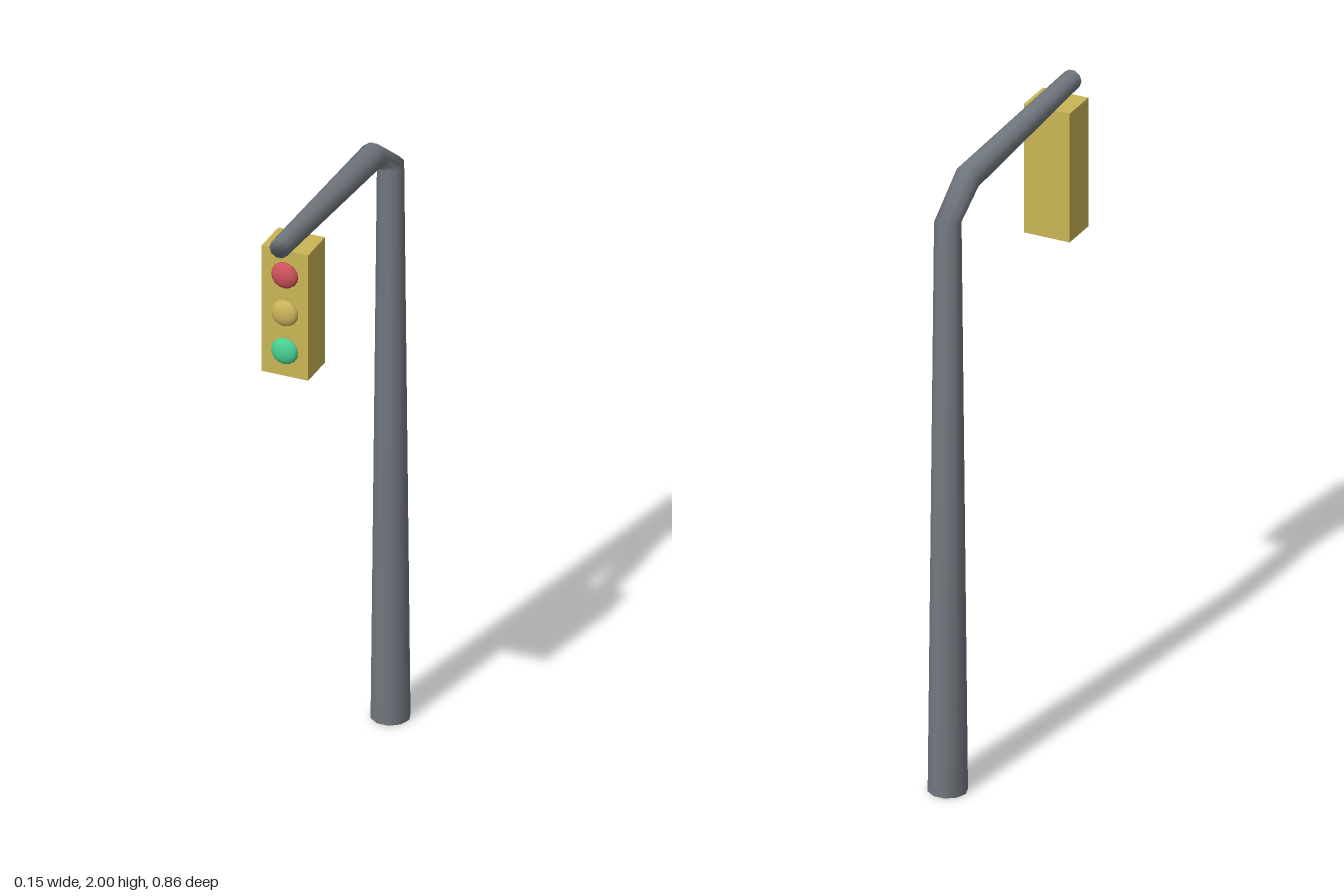
import * as THREE from 'three';

const SIDES = 10;

function material(name, color) {
  const m = new THREE.MeshStandardMaterial({ color });
  m.name = name;
  return m;
}

// Tapered bent tube: rings of [y, z, radius, tilt], tilt turning the ring from horizontal towards +z
function bentTube(rings) {
  const pos = [], index = [];
  for (const [y, z, r, tilt] of rings) {
    for (let i = 0; i < SIDES; i++) {
      const a = (i / SIDES) * Math.PI * 2;
      const s = r * Math.sin(a);
      pos.push(r * Math.cos(a), y - s * Math.sin(tilt), z + s * Math.cos(tilt));
    }
  }
  for (let k = 0; k < rings.length - 1; k++) {
    for (let i = 0; i < SIDES; i++) {
      const j = (i + 1) % SIDES;
      const a = k * SIDES + i, b = k * SIDES + j, c = a + SIDES, d = b + SIDES;
      index.push(a, c, b, b, c, d);
    }
  }
  // End caps share the rim vertices, so the shading stays soft
  const last = (rings.length - 1) * SIDES;
  for (let i = 1; i < SIDES - 1; i++) {
    index.push(0, i, i + 1, last, last + i + 1, last + i);
  }
  const g = new THREE.BufferGeometry();
  g.setAttribute('position', new THREE.Float32BufferAttribute(pos, 3));
  g.setIndex(index);
  g.computeVertexNormals();
  return g;
}

export function createModel() {
  const model = new THREE.Group();
  model.name = 'trafficLight';

  const grey = material('poleGrey', 0x727980);
  const yellow = material('housingYellow', 0xcab655);
  const lenses = [
    ['redLight', material('lensRed', 0xcc525a), 1.863],
    ['amberLight', material('lensAmber', 0xcbb35c), 1.736],
    ['greenLight', material('lensGreen', 0x48d194), 1.609],
  ];

  // Pole with a bent arm reaching forward
  const pole = new THREE.Mesh(bentTube([
    [0, -0.375, 0.06, 0],
    [1.855, -0.375, 0.041, 0.1],
    [1.943, -0.246, 0.041, 1.35],
    [1.971, 0.432, 0.031, Math.PI / 2],
  ]), grey);
  pole.name = 'poleAndArm';
  model.add(pole);

  // Signal housing hanging under the arm
  const housing = new THREE.Mesh(new THREE.BoxGeometry(0.15, 0.42, 0.122), yellow);
  housing.name = 'housing';
  housing.position.set(0, 1.735, 0.329);
  model.add(housing);

  // Shallow domed lenses
  const dome = new THREE.SphereGeometry(0.043, 16, 5, 0, Math.PI * 2, 0, Math.PI / 2);
  dome.rotateX(Math.PI / 2);
  dome.scale(1, 1, 0.53);
  for (const [name, mat, y] of lenses) {
    const lens = new THREE.Mesh(dome, mat);
    lens.name = name;
    lens.position.set(0, y, 0.39);
    model.add(lens);
  }
  return model;
}
